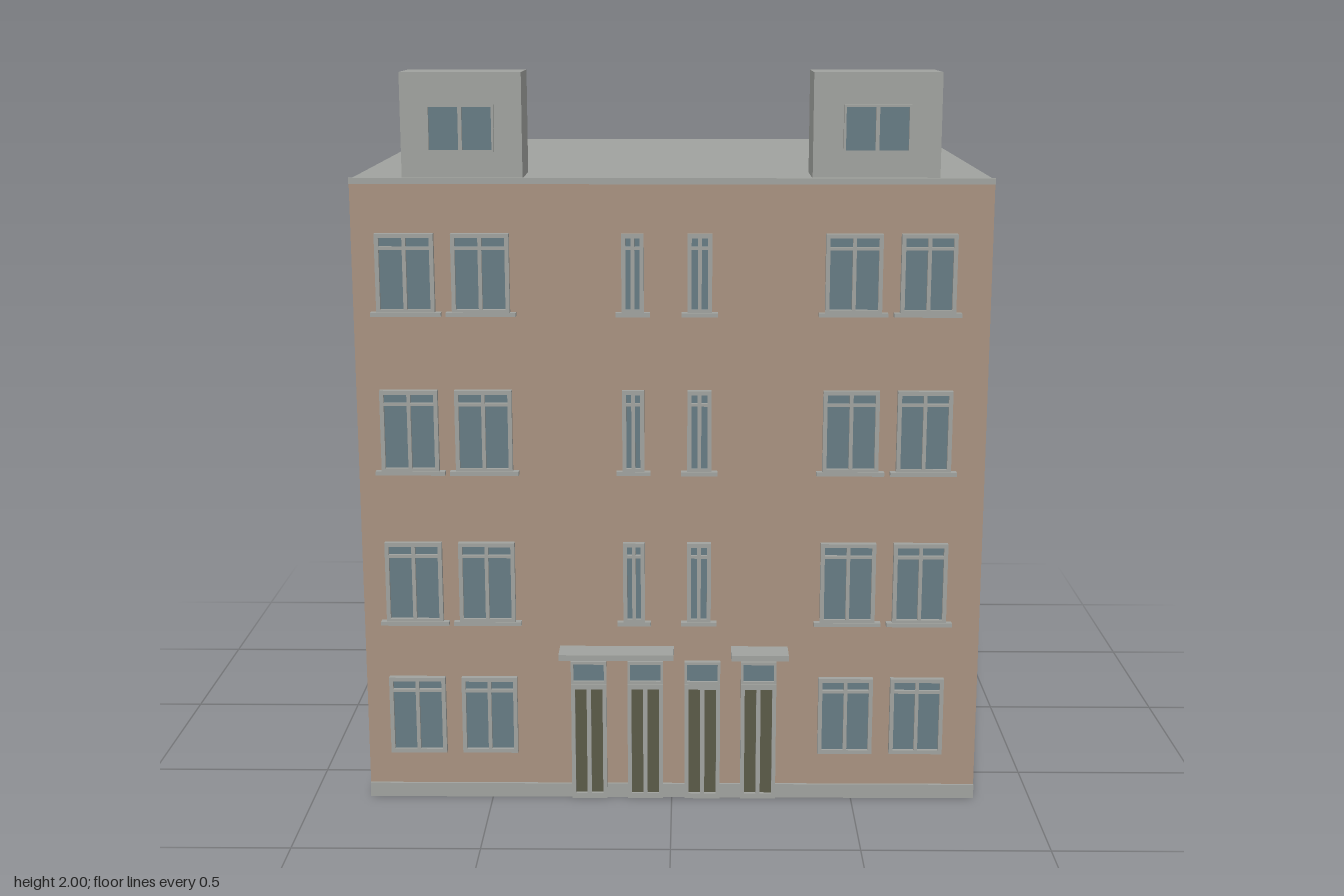
import * as THREE from 'three';

const material = (name, color, side = THREE.FrontSide) => {
  const m = new THREE.MeshStandardMaterial({ color, side });
  m.name = name;
  return m;
};

export function createModel() {
  const brick = material('brick', 0xa89280);
  const stone = material('grey stone', 0xa0a29e);
  const glass = material('window glass', 0x667b83);
  const doorPaint = material('olive door', 0x5b5a48);
  const model = new THREE.Group();
  model.name = 'apartmentBuilding';
  const FRONT = 0.67, BACK = -0.74, SIDE = 0.843, ROOF = 1.725;

  const add = (parent, name, geometry, mat) => {
    const mesh = new THREE.Mesh(geometry, mat);
    mesh.name = name;
    parent.add(mesh);
    return mesh;
  };
  // Box given by its lower and upper corners
  const box = (parent, name, mat, x0, x1, y0, y1, z0, z1) => {
    const m = add(parent, name, new THREE.BoxGeometry(x1 - x0, y1 - y0, z1 - z0), mat);
    m.position.set((x0 + x1) / 2, (y0 + y1) / 2, (z0 + z1) / 2);
    return m;
  };
  const group = (name) => {
    const g = new THREE.Group();
    g.name = name;
    model.add(g);
    return g;
  };
  const rect = (P, [x0, x1, y0, y1]) => {
    const p = new P();
    p.moveTo(x0, y0);
    p.lineTo(x1, y0);
    p.lineTo(x1, y1);
    p.lineTo(x0, y1);
    p.closePath();
    return p;
  };
  // Pierced frame; each opening is filled with a thin pane
  const pierced = (parent, name, outer, openings, z, depth) => {
    const shape = rect(THREE.Shape, outer);
    openings.forEach((o) => shape.holes.push(rect(THREE.Path, o.r)));
    const geo = new THREE.ExtrudeGeometry(shape, { depth, bevelEnabled: false });
    add(parent, name + 'Frame', geo, stone).position.z = z;
    openings.forEach((o) =>
      box(parent, name + (o.mat === glass ? 'Pane' : 'Panel'), o.mat, ...o.r, z, z + depth * 0.4));
  };

  // Main block with the roof as its own face colour
  const body = add(model, 'walls', new THREE.BoxGeometry(SIDE * 2, ROOF, FRONT - BACK),
    [brick, brick, stone, brick, brick, brick]);
  body.position.set(0, ROOF / 2, (FRONT + BACK) / 2);
  box(model, 'cornice', stone, -SIDE, SIDE, 1.714, 1.73, 0.66, 0.677);

  // Front windows: two lights below a transom
  const rows = [[0.135, 0.355], [0.515, 0.742], [0.94, 1.165], [1.373, 1.585]];
  const columns = [[-0.78, -0.625], [-0.58, -0.427], [0.405, 0.555], [0.603, 0.75]];
  const stairColumns = [[-0.132, -0.073], [0.042, 0.107]];
  const frontWindow = ([x0, x1], [y0, y1], floor, edge) => {
    const g = group('frontWindow');
    const mid = (x0 + x1) / 2, bar = 0.005, transom = y1 - 0.042;
    const openings = [];
    for (const [a, b] of [[x0 + edge, mid - bar], [mid + bar, x1 - edge]])
      for (const [c, d] of [[y0 + edge, transom], [transom + 0.008, y1 - edge]])
        openings.push({ r: [a, b, c, d], mat: glass });
    pierced(g, 'window', [x0, x1, y0, y1], openings, FRONT, 0.016);
    if (floor > 0)
      box(g, 'sill', stone, x0 - 0.016, x1 + 0.016, y0 - 0.008, y0 + 0.003, FRONT, FRONT + 0.019);
  };
  rows.forEach((row, floor) => {
    columns.forEach((c) => frontWindow(c, row, floor, 0.011));
    if (floor > 0) stairColumns.forEach((c) => frontWindow(c, row, floor, 0.011));
  });

  // Entrance doors with fanlights
  const doors = [-0.229, -0.073, 0.085, 0.24];
  const half = 0.049;
  doors.forEach((x) => {
    const g = group('entranceDoor');
    pierced(g, 'door', [x - half, x + half, 0, 0.402], [
      { r: [x - 0.042, x + 0.042, 0.345, 0.394], mat: glass },
      { r: [x - 0.038, x - 0.006, 0.015, 0.322], mat: doorPaint },
      { r: [x + 0.006, x + 0.038, 0.015, 0.322], mat: doorPaint },
    ], FRONT, 0.014);
    box(g, 'doorLintel', stone, x - half, x + half, 0.33, 0.338, FRONT, FRONT + 0.017);
  });

  // Plinth strips between the doors
  const stops = [-SIDE, ...doors.flatMap((x) => [x - half, x + half]), SIDE];
  for (let i = 0; i < stops.length; i += 2)
    box(model, 'plinth', stone, stops[i], stops[i + 1], 0, 0.04, FRONT, 0.677);

  // Canopies
  for (const [x0, x1] of [[-0.307, 0.006], [0.163, 0.319]])
    box(model, 'canopy', stone, x0, x1, 0.428, 0.444, FRONT, 0.745);

  // Rear windows: shallow bevelled surround around one pane
  const bevelled = (w, h, d, inset) => {
    const geo = new THREE.BoxGeometry(w, h, d).toNonIndexed();
    const p = geo.attributes.position;
    for (let i = 0; i < p.count; i++)
      if (p.getZ(i) < 0)
        p.setXY(i, p.getX(i) * (1 - 2 * inset / w), p.getY(i) * (1 - 2 * inset / h));
    geo.computeVertexNormals();
    return geo;
  };
  const rearRows = [[0.11, 0.365], [0.535, 0.785], [0.96, 1.215], [1.38, 1.64]];
  const rearColumns = [-0.72, -0.268, -0.032, 0.345, 0.722];
  for (const [y0, y1] of rearRows)
    for (const x of rearColumns) {
      const g = group('rearWindow');
      const w = 0.152, h = y1 - y0, y = (y0 + y1) / 2;
      add(g, 'rearWindowSurround', bevelled(w, h, 0.005, 0.009), stone).position.set(x, y, BACK - 0.0025);
      box(g, 'rearWindowPane', glass, x - w / 2 + 0.01, x + w / 2 - 0.01, y0 + 0.01, y1 - 0.01,
        BACK - 0.006, BACK - 0.001);
    }

  // Rooftop boxes with a small two-light window
  for (const [x0, x1, wx] of [[-0.71, -0.392, -0.553], [0.37, 0.705, 0.537]]) {
    const g = group('rooftopBox');
    box(g, 'rooftopWalls', stone, x0, x1, ROOF, 2, 0.458, 0.63);
    pierced(g, 'rooftopWindow', [wx - 0.088, wx + 0.088, 1.793, 1.917], [
      { r: [wx - 0.082, wx - 0.005, 1.799, 1.911], mat: glass },
      { r: [wx + 0.005, wx + 0.082, 1.799, 1.911], mat: glass },
    ], 0.63, 0.012);
  }
  return model;
}
